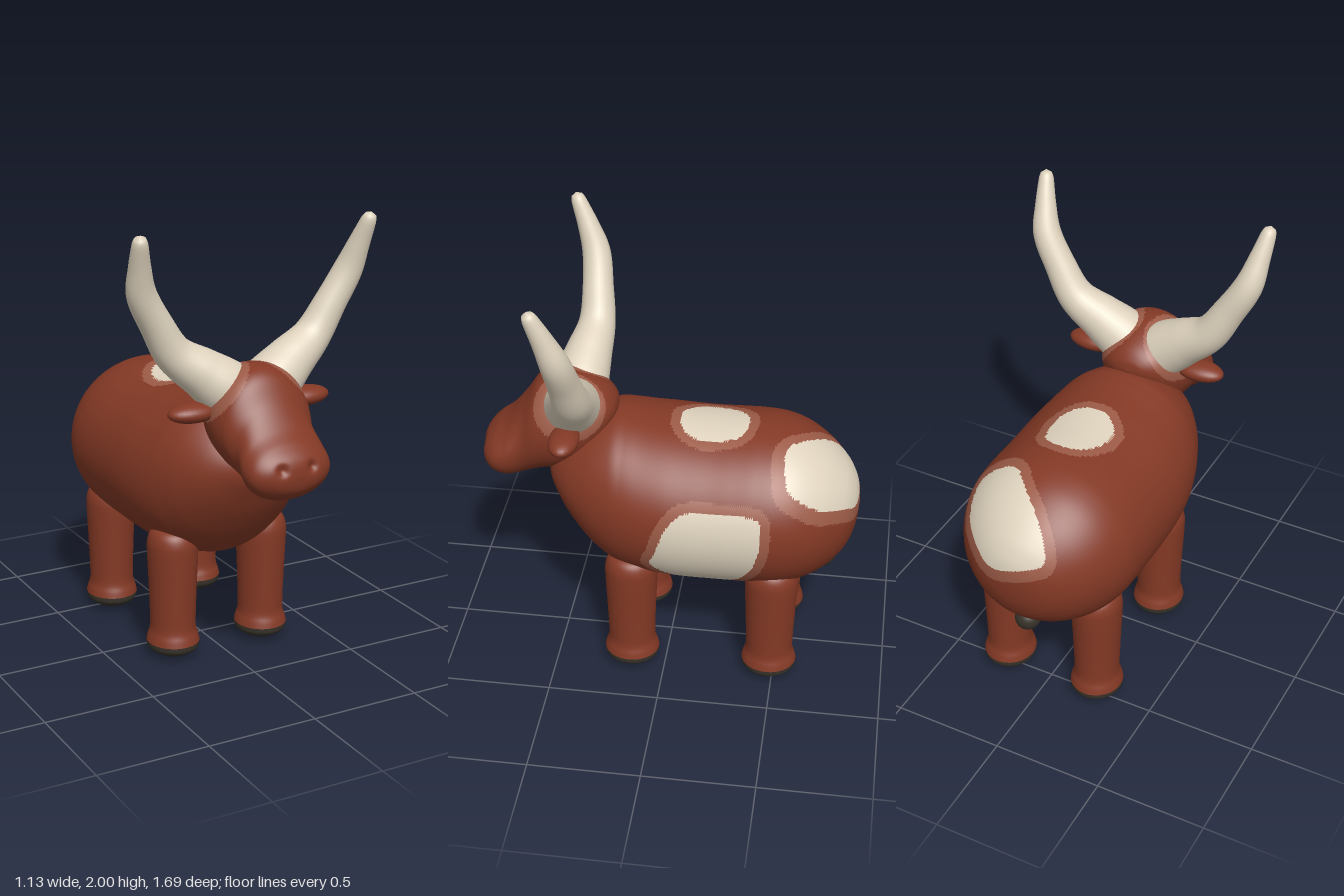
import * as THREE from 'three';
import { mergeVertices } from 'three/addons/utils/BufferGeometryUtils.js';

const paint = (name, color) => Object.assign(new THREE.MeshStandardMaterial({ color }), { name });
const V3 = (x, y, z) => new THREE.Vector3(x, y, z);

// Smooth skin over elliptical rings; each row is [z, top, bottom, halfWidth], z ascending.
function loft(rows, rings, sides) {
  const shape = new THREE.CatmullRomCurve3(rows.map(r => V3(r[0], (r[1] + r[2]) / 2, r[3])), false, 'catmullrom');
  const height = new THREE.CatmullRomCurve3(rows.map(r => V3(r[0], (r[1] - r[2]) / 2, 0)), false, 'catmullrom');
  const pos = [], index = [];
  for (let i = 0; i <= rings; i++) {
    const c = shape.getPoint(i / rings);
    const ry = Math.max(0, height.getPoint(i / rings).y), rx = Math.max(0, c.z);
    for (let j = 0; j < sides; j++) {
      const a = (j / sides) * Math.PI * 2;
      pos.push(rx * Math.cos(a), c.y + ry * Math.sin(a), c.x);
      if (i === rings) continue;
      const k = i * sides + j, n = i * sides + (j + 1) % sides;
      index.push(k, n, k + sides, n, n + sides, k + sides);
    }
  }
  const geo = new THREE.BufferGeometry();
  geo.setAttribute('position', new THREE.Float32BufferAttribute(pos, 3));
  geo.setIndex(index);
  geo.computeVertexNormals();
  return geo;
}

// Sort faces into material groups; pick(point) returns the material number.
function splitFaces(geo, count, pick) {
  const p = geo.attributes.position, idx = geo.index.array;
  const lists = Array.from({ length: count }, () => []);
  const c = V3(0, 0, 0), v = V3(0, 0, 0);
  for (let f = 0; f < idx.length; f += 3) {
    c.set(0, 0, 0);
    for (let k = 0; k < 3; k++) c.add(v.fromBufferAttribute(p, idx[f + k]));
    lists[pick(c.divideScalar(3))].push(idx[f], idx[f + 1], idx[f + 2]);
  }
  geo.setIndex(lists.flat());
  let start = 0;
  lists.forEach((l, m) => { geo.addGroup(start, l.length, m); start += l.length; });
  return geo;
}

// Signed distance test data for a smooth closed outline.
function outline(points) {
  const curve = new THREE.CatmullRomCurve3(points.map(([a, b]) => V3(a, b, 0)), true, 'catmullrom');
  return curve.getPoints(56).slice(0, -1);
}
function outlineDistance(poly, a, b) {
  let best = Infinity, inside = false;
  for (let i = 0, j = poly.length - 1; i < poly.length; j = i++) {
    const p = poly[i], q = poly[j];
    const dx = q.x - p.x, dy = q.y - p.y;
    const t = THREE.MathUtils.clamp(((a - p.x) * dx + (b - p.y) * dy) / (dx * dx + dy * dy), 0, 1);
    best = Math.min(best, Math.hypot(a - p.x - t * dx, b - p.y - t * dy));
    if ((p.y > b) !== (q.y > b) && a < dx * (b - p.y) / dy + p.x) inside = !inside;
  }
  return inside ? -best : best;
}

export function createModel() {
  const model = new THREE.Group();
  const brown = paint('red brown coat', 0x843925);
  const tan = paint('patch border', 0x9c5b47);
  const cream = paint('cream patch and horn', 0xdfd3be);
  const dark = paint('dark hoof', 0x38332a);
  const add = (name, geo, mat) => {
    const mesh = new THREE.Mesh(geo, mat);
    mesh.name = name;
    model.add(mesh);
    return mesh;
  };

  // Coat patches, each an outline seen along one direction
  const sidePatch = outline([[-0.1, 0.965], [-0.26, 0.97], [-0.41, 0.965], [-0.435, 0.89], [-0.42, 0.76],
    [-0.375, 0.65], [-0.31, 0.56], [-0.23, 0.52], [-0.1, 0.53], [0, 0.6], [0.05, 0.67], [0.02, 0.76], [-0.02, 0.88]]);
  const backPatch = outline([[0, -0.345], [0.1, -0.32], [0.135, -0.24], [0.14, -0.14], [0.09, -0.06],
    [0, -0.04], [-0.07, -0.06], [-0.13, -0.14], [-0.12, -0.24], [-0.07, -0.32]]);
  const rumpPatch = outline([[-0.13, -0.035], [-0.05, 0.09], [0.05, 0.187], [0.12, 0.247], [0.2, 0.24],
    [0.3, 0.155], [0.29, 0.014], [0.22, -0.085], [0.08, -0.18], [-0.12, -0.12]]);
  const coat = p => {
    let d = 1;
    if (p.x > 0) d = Math.min(d, outlineDistance(sidePatch, p.z, p.y));
    if (p.y > 1) d = Math.min(d, outlineDistance(backPatch, p.x, p.z));
    if (p.y - p.z > 1.4) d = Math.min(d, outlineDistance(rumpPatch, p.x, 0.707 * (p.y + p.z - 0.3)));
    return d < 0 ? 2 : d < 0.043 ? 1 : 0;
  };

  // Body
  const body = loft([
    [-0.845, 0.85, 0.85, 0], [-0.838, 0.91, 0.765, 0.07], [-0.82, 0.965, 0.69, 0.137], [-0.78, 1.03, 0.61, 0.212],
    [-0.7, 1.11, 0.53, 0.3], [-0.6, 1.175, 0.475, 0.364], [-0.5, 1.207, 0.45, 0.398], [-0.4, 1.215, 0.445, 0.408],
    [-0.3, 1.213, 0.445, 0.41], [-0.2, 1.21, 0.445, 0.41], [-0.1, 1.212, 0.445, 0.41], [0, 1.218, 0.448, 0.407],
    [0.1, 1.225, 0.455, 0.395], [0.18, 1.235, 0.47, 0.378], [0.25, 1.238, 0.5, 0.356], [0.35, 1.2, 0.59, 0.31],
    [0.45, 1.13, 0.725, 0.235], [0.52, 1.05, 0.855, 0.14], [0.55, 0.96, 0.92, 0.03], [0.555, 0.94, 0.94, 0]
  ], 228, 144);
  add('body', splitFaces(body, 3, coat), [brown, tan, cream]);

  // Head with two dented nostrils and a lighter ring around each horn
  const head = loft([
    [0.235, 1.25, 1.25, 0], [0.25, 1.3, 1.2, 0.08], [0.3, 1.352, 1.1, 0.15], [0.4, 1.398, 0.99, 0.205],
    [0.5, 1.412, 0.945, 0.22], [0.58, 1.38, 0.925, 0.21], [0.65, 1.28, 0.9, 0.188], [0.72, 1.19, 0.887, 0.197],
    [0.78, 1.14, 0.905, 0.185], [0.82, 1.1, 0.94, 0.14], [0.838, 1.065, 0.975, 0.08], [0.845, 1.02, 1.02, 0]
  ], 132, 96);
  const hp = head.attributes.position;
  for (let i = 0; i < hp.count; i++) {
    if (hp.getZ(i) < 0.72) continue;
    const d2 = (Math.abs(hp.getX(i)) - 0.07) ** 2 + (hp.getY(i) - 1.05) ** 2;
    hp.setZ(i, hp.getZ(i) - 0.018 * Math.exp(-d2 / 0.0005));
  }
  head.computeVertexNormals();
  const hornRoot = V3(0.16, 1.325, 0.425);
  const nearHorn = p => (V3(Math.abs(p.x), p.y, p.z).distanceTo(hornRoot) < 0.163 ? 1 : 0);
  add('head', splitFaces(head, 2, nearHorn), [brown, tan]);

  // Horns: a tube whose radius follows the table [x, y, z, radius]
  const hornRows = [[0.07, 1.27, 0.425, 0.125], [0.13, 1.315, 0.42, 0.122], [0.21, 1.375, 0.405, 0.106],
    [0.33, 1.465, 0.385, 0.083], [0.415, 1.6, 0.392, 0.07], [0.49, 1.74, 0.41, 0.063],
    [0.517, 1.86, 0.45, 0.047], [0.535, 1.965, 0.492, 0.033], [0.539, 1.988, 0.5, 0.024], [0.541, 2, 0.503, 0]];
  for (const side of [1, -1]) {
    const path = new THREE.CatmullRomCurve3(hornRows.map(([x, y, z]) => V3(side * x, y, z)));
    const radius = new THREE.CatmullRomCurve3(hornRows.map((r, i) => V3(i, r[3], 0)), false, 'catmullrom');
    const segs = 72, sides = 28;
    const horn = new THREE.TubeGeometry(path, segs, 1, sides);
    const p = horn.attributes.position, v = V3(0, 0, 0);
    for (let i = 0; i < p.count; i++) {
      const u = Math.floor(i / (sides + 1)) / segs;
      const c = path.getPointAt(u), r = Math.max(0, radius.getPoint(path.getUtoTmapping(u)).y);
      v.fromBufferAttribute(p, i).sub(c).multiplyScalar(r).add(c);
      p.setXYZ(i, v.x, v.y, v.z);
    }
    horn.deleteAttribute('uv');
    horn.deleteAttribute('normal');
    const smooth = mergeVertices(horn, 1e-5);
    smooth.computeVertexNormals();
    add(side > 0 ? 'leftHorn' : 'rightHorn', smooth, cream);

    // Ear
    const ear = add(side > 0 ? 'leftEar' : 'rightEar', new THREE.SphereGeometry(1, 28, 18), brown);
    ear.scale.set(0.118, 0.043, 0.067);
    ear.position.set(side * 0.267, 1.22, 0.433);
  }

  // Legs and hooves
  const lathe = pts => new THREE.LatheGeometry(
    new THREE.SplineCurve(pts.map(([x, y]) => new THREE.Vector2(x, y))).getPoints(40)
      .map(p => new THREE.Vector2(Math.max(0, p.x), p.y)), 36);
  const legGeo = lathe([[0.118, 0.08], [0.112, 0.105], [0.102, 0.14], [0.101, 0.2], [0.106, 0.35],
    [0.112, 0.5], [0.109, 0.56], [0.09, 0.6], [0.05, 0.618], [0, 0.622]]);
  const hoofGeo = lathe([[0, 0.005], [0.04, 0.01], [0.08, 0.027], [0.112, 0.052], [0.118, 0.08]]);
  for (const [place, z] of [['front', 0.155], ['rear', -0.48]]) {
    for (const side of [1, -1]) {
      const leg = add(place + (side > 0 ? 'LeftLeg' : 'RightLeg'), legGeo, brown);
      const hoof = add(place + (side > 0 ? 'LeftHoof' : 'RightHoof'), hoofGeo, dark);
      for (const m of [leg, hoof]) {
        m.position.set(side * 0.225, 0, z);
        m.scale.z = 1.06;
      }
    }
  }

  // Tail tuft
  const tuft = add('tailTuft', new THREE.SphereGeometry(0.057, 24, 16), dark);
  tuft.position.set(0, 0.527, -0.695);

  return model;
}
